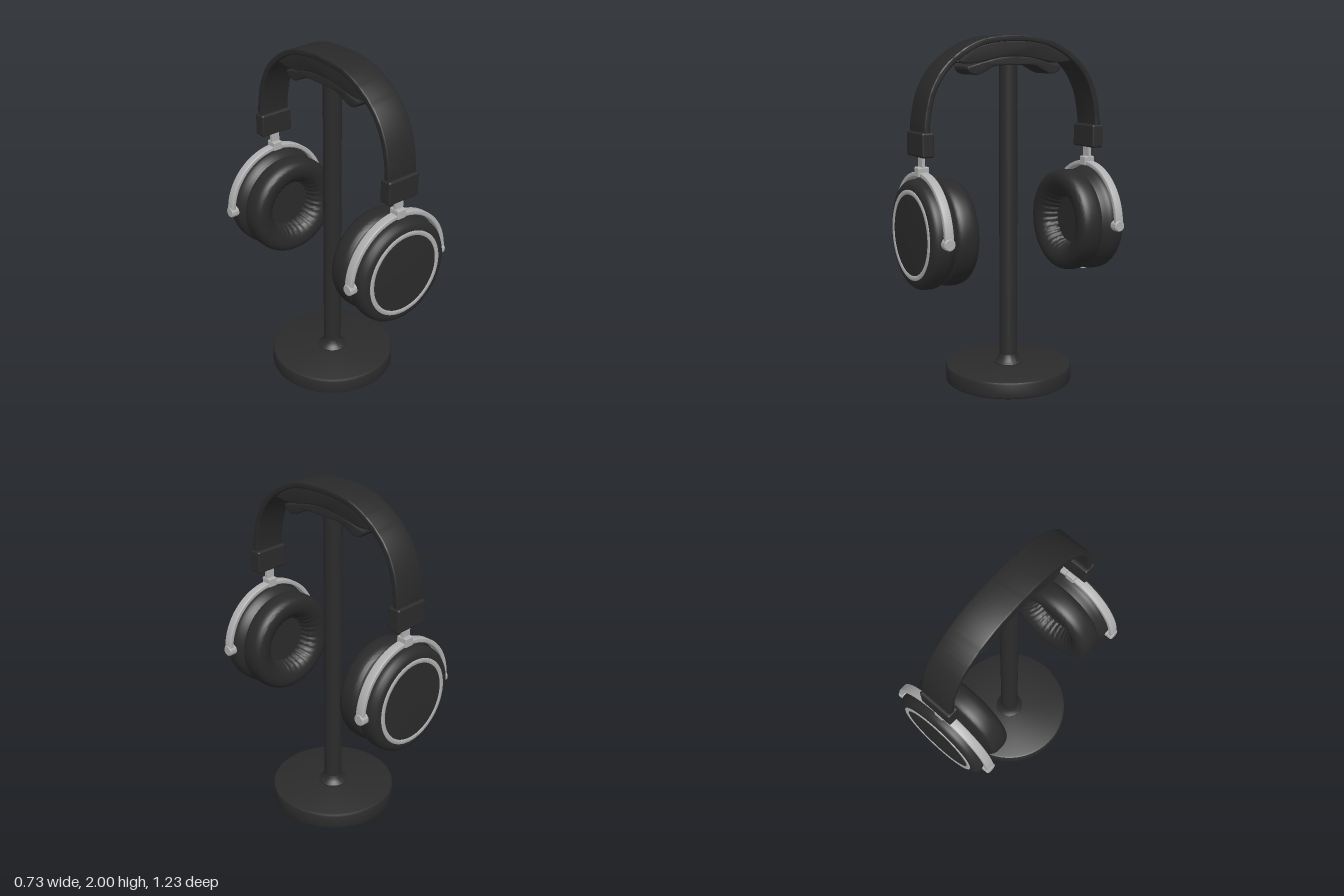
import * as THREE from 'three';
import { toCreasedNormals } from 'three/addons/utils/BufferGeometryUtils.js';
import { RoundedBoxGeometry } from 'three/addons/geometries/RoundedBoxGeometry.js';

const black = new THREE.MeshStandardMaterial({ color: 0x2b2b2b });
black.name = 'matte black';
const leather = new THREE.MeshStandardMaterial({ color: 0x292929 });
leather.name = 'black leather';
const silver = new THREE.MeshStandardMaterial({ color: 0xb0b0b0 });
silver.name = 'silver metal';

const CUP_Y = 0.92, CUP_Z = 0.54;
const vec = (pts) => pts.map(([x, y]) => new THREE.Vector2(x, y));

function add(parent, name, geometry, material, x = 0, y = 0, z = 0) {
  const mesh = new THREE.Mesh(geometry, material);
  mesh.name = name;
  mesh.position.set(x, y, z);
  parent.add(mesh);
  return mesh;
}

// Turned part; profile runs bottom to top as [radius, height]
function lathe(profile, segments = 72, crease = 0.6) {
  return toCreasedNormals(new THREE.LatheGeometry(vec(profile), segments), crease);
}

// Bevelled slab, centred on its extrusion axis (z)
function slab(shape, width, bevel, curveSegments = 32) {
  const geo = new THREE.ExtrudeGeometry(shape, {
    depth: width - 2 * bevel, bevelThickness: bevel, bevelSize: bevel,
    bevelOffset: -bevel, bevelSegments: 3, curveSegments,
  });
  geo.translate(0, 0, -width / 2 + bevel);
  return toCreasedNormals(geo, 0.6);
}

// Side profile given for one half, mirrored and run across x
const mirrored = (half) => [...half, ...half.slice().reverse().filter((p) => p.x > 1e-6)
  .map((p) => new THREE.Vector2(-p.x, p.y))];
const sideSlab = (points, width, bevel) => slab(new THREE.Shape(points), width, bevel).rotateY(Math.PI / 2);

// Headband outline: outer curve and the same curve moved inwards
const archCurve = new THREE.SplineCurve(mirrored(vec([
  [0.565, 1.44], [0.56, 1.55], [0.528, 1.69], [0.462, 1.81], [0.36, 1.903],
  [0.245, 1.965], [0.13, 1.993], [0, 2.0],
])));
function arch(offset, n = 64) {
  return Array.from({ length: n + 1 }, (_, i) => {
    const p = archCurve.getPoint(i / n), t = archCurve.getTangent(i / n);
    return new THREE.Vector2(p.x - t.y * offset, p.y + t.x * offset);
  });
}

function buildStand() {
  const stand = new THREE.Group();
  stand.name = 'stand';
  add(stand, 'base', lathe([[0, 0], [0.355, 0], [0.364, 0.006], [0.367, 0.015], [0.367, 0.085],
    [0.363, 0.095], [0.352, 0.1], [0, 0.1]], 96), black);
  add(stand, 'postCollar', lathe([[0.085, 0.098], [0.085, 0.106], [0.08, 0.111], [0.068, 0.12],
    [0.057, 0.137], [0.052, 0.155]], 48), black);
  add(stand, 'post', new THREE.CylinderGeometry(0.052, 0.052, 1.75, 48), black, 0, 0.975, 0);
  // Saddle with drooping lips that carries the headband
  const under = new THREE.SplineCurve(vec([[0.298, 1.815], [0.275, 1.792], [0.23, 1.785],
    [0.17, 1.81], [0.12, 1.832], [0, 1.835]])).getPoints(20);
  const over = new THREE.SplineCurve(vec([[0, 1.885], [0.1, 1.877], [0.2, 1.853], [0.298, 1.828]])).getPoints(12);
  const half = [...over, ...under.slice(0, -1)];
  add(stand, 'cradle', sideSlab([...half, new THREE.Vector2(0, 1.835),
    ...half.slice(1).reverse().map((p) => new THREE.Vector2(-p.x, p.y))], 0.16, 0.006), black);
  return stand;
}

function buildHeadband() {
  const headband = new THREE.Group();
  headband.name = 'headband';
  add(headband, 'band', sideSlab([...arch(0), ...arch(0.034).reverse()], 0.196, 0.007), leather);
  // Cushion under the crown of the band
  const top = arch(0.03).filter((p) => Math.abs(p.x) < 0.36);
  const bottom = new THREE.SplineCurve(mirrored(vec([[0.365, 1.853], [0.28, 1.846], [0.2, 1.856],
    [0.1, 1.876], [0, 1.883]]))).getPoints(32);
  add(headband, 'crownPad', sideSlab([...top, ...bottom.reverse()], 0.17, 0.006), leather);
  return headband;
}

// Pleated ring cushion with a flat speaker cover inside
function cushionGeometry() {
  const rim = new THREE.SplineCurve(vec([[0.138, 0.43], [0.146, 0.4], [0.168, 0.358], [0.2, 0.333],
    [0.24, 0.324], [0.276, 0.333], [0.295, 0.36], [0.3, 0.4], [0.296, 0.44], [0.28, 0.463], [0.255, 0.47]]));
  const geo = new THREE.LatheGeometry(rim.getPoints(36), 120);
  const pos = geo.attributes.position;
  for (let i = 0; i < pos.count; i++) {
    const x = pos.getX(i), z = pos.getZ(i), r = Math.hypot(x, z);
    const w = Math.max(0, Math.min(1, (0.2 - r) / 0.03));
    const k = 1 + 0.025 * w * Math.sin(30 * Math.atan2(z, x));
    pos.setX(i, x * k);
    pos.setZ(i, z * k);
  }
  return toCreasedNormals(geo, 0.9).rotateX(Math.PI / 2);
}

// One ear cup with its hanger, facing +z
function buildSide(name) {
  const side = new THREE.Group();
  side.name = name;
  const turned = (part, profile, mat) => add(side, part, lathe(profile, 96).rotateX(Math.PI / 2), mat, 0, CUP_Y, 0);

  add(side, 'earCushion', cushionGeometry(), leather, 0, CUP_Y, 0);
  turned('speakerCover', [[0, 0.425], [0.145, 0.425]], black);
  turned('cupShell', [[0.24, 0.458], [0.266, 0.46], [0.274, 0.472], [0.288, 0.492], [0.302, 0.508],
    [0.306, 0.525], [0.306, 0.565], [0.302, 0.585], [0.29, 0.601], [0.27, 0.61], [0.25, 0.611], [0, 0.611]], black);
  turned('cupTrimRing', [[0.25, 0.606], [0.25, 0.614], [0.247, 0.616], [0.227, 0.616], [0.224, 0.614],
    [0.224, 0.608]], silver);
  turned('cupCoverPlate', [[0.224, 0.612], [0.15, 0.6145], [0.07, 0.6165], [0, 0.617]], black);
  add(side, 'cablePort', new THREE.CylinderGeometry(0.02, 0.02, 0.03, 24), silver, 0, 0.624, 0.525);

  // Half-ring yoke with pivots on both ends
  const ring = new THREE.Shape();
  ring.absarc(0, 0, 0.345, 0, Math.PI, false);
  ring.absarc(0, 0, 0.319, Math.PI, 0, true);
  add(side, 'yoke', slab(ring, 0.05, 0.005, 48), silver, 0, CUP_Y, CUP_Z);
  for (const s of [-1, 1]) {
    const pivot = lathe([[0, 0], [0.033, 0], [0.033, 0.044], [0.028, 0.05], [0, 0.05]], 32);
    add(side, 'yokePivot', pivot.rotateZ(-s * Math.PI / 2), silver, s * 0.298, CUP_Y, CUP_Z);
  }

  // Slider and band end
  add(side, 'yokeBlock', new RoundedBoxGeometry(0.06, 0.055, 0.066, 3, 0.007), silver, 0, 1.265, CUP_Z);
  add(side, 'sliderStem', new THREE.BoxGeometry(0.055, 0.12, 0.018), silver, 0, 1.32, CUP_Z);
  add(side, 'bandEndClamp', new RoundedBoxGeometry(0.21, 0.135, 0.074, 4, 0.012), black, 0, 1.417, 0.545);
  return side;
}

export function createModel() {
  const model = new THREE.Group();
  model.name = 'headphonesOnStand';
  const front = buildSide('frontEarCup'), back = buildSide('backEarCup');
  back.rotation.y = Math.PI;
  model.add(buildStand(), buildHeadband(), front, back);
  return model;
}
